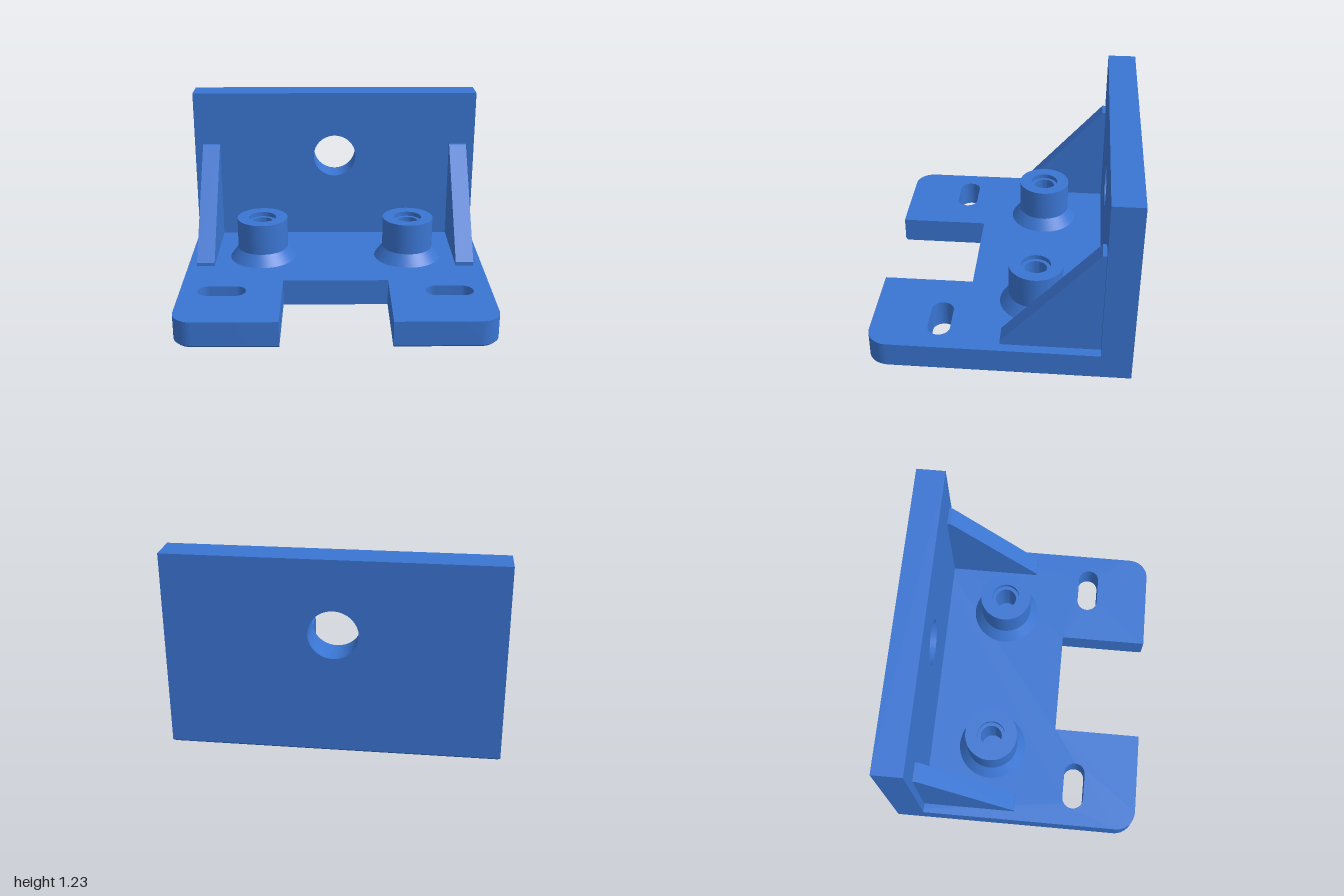
import * as THREE from 'three';
import { toCreasedNormals } from 'three/addons/utils/BufferGeometryUtils.js';

const blue = new THREE.MeshStandardMaterial({ color: 0x3a75d2 });
blue.name = 'blue';

const BASE_TOP = 0.175, BACK = -0.805, FRONT = 0.805, WALL_FRONT = -0.615;
const CORNER = 0.13, CHAMFER = 0.015;

function part(name, geometry) {
  const mesh = new THREE.Mesh(toCreasedNormals(geometry, 0.5), blue);
  mesh.name = name;
  return mesh;
}

// Base plate: notched outline with two slots, chamfered along its lower outer edge
function basePlate() {
  const cx = 1 - CORNER, cz = FRONT - CORNER;
  const s = new THREE.Shape();
  s.moveTo(-1, -BACK);
  s.lineTo(-1, -cz);
  s.absarc(-cx, -cz, CORNER, Math.PI, Math.PI * 1.5, false);
  s.lineTo(-0.345, -FRONT);
  s.lineTo(-0.345, -0.225);
  s.lineTo(0.345, -0.225);
  s.lineTo(0.345, -FRONT);
  s.absarc(cx, -cz, CORNER, -Math.PI / 2, 0, false);
  s.lineTo(1, -BACK);
  s.closePath();
  for (const x of [-0.73, 0.73]) {
    const slot = new THREE.Path();
    slot.absarc(x + 0.085, -0.38, 0.07, -Math.PI / 2, Math.PI / 2, false);
    slot.absarc(x - 0.085, -0.38, 0.07, Math.PI / 2, Math.PI * 1.5, false);
    slot.closePath();
    s.holes.push(slot);
  }
  const g = new THREE.ExtrudeGeometry(s, { depth: BASE_TOP, steps: 2, bevelEnabled: false, curveSegments: 16 });
  g.rotateX(-Math.PI / 2);

  // Middle ring drops to the chamfer height, bottom ring moves inwards
  const p = g.attributes.position;
  for (let i = 0; i < p.count; i++) {
    let x = p.getX(i), y = p.getY(i), z = p.getZ(i);
    if (y > 0.05 && y < 0.12) y = CHAMFER;
    else if (y < 0.01) {
      const side = Math.sign(x);
      if (Math.abs(x) > cx + 1e-4 && z > cz + 1e-4) {
        const k = 1 - CHAMFER / CORNER;
        x = side * (cx + (Math.abs(x) - cx) * k);
        z = cz + (z - cz) * k;
      } else {
        if (Math.abs(x) > 0.995) x -= side * CHAMFER;
        if (z > FRONT - 0.005) z -= CHAMFER;
        if (z < BACK + 0.005) z += CHAMFER;
      }
    }
    p.setXYZ(i, x, y, z);
  }
  return part('basePlate', g);
}

// Upright wall with a round through hole
function backWall() {
  const s = new THREE.Shape();
  s.moveTo(-1, BASE_TOP);
  s.lineTo(1, BASE_TOP);
  s.lineTo(1, 1.23);
  s.lineTo(-1, 1.23);
  s.closePath();
  const hole = new THREE.Path();
  hole.absarc(0, 0.77, 0.15, 0, Math.PI * 2, true);
  s.holes.push(hole);
  const g = new THREE.ExtrudeGeometry(s, { depth: WALL_FRONT - BACK, bevelEnabled: false, curveSegments: 48 });
  g.translate(0, 0, BACK);
  return part('backWall', g);
}

// Triangular gusset, drawn in z/y and extruded along x
function gusset(name, x) {
  const s = new THREE.Shape([
    [-WALL_FRONT, BASE_TOP], [-WALL_FRONT, 0.86], [0.592, 0.86], [0.008, 0.2], [0.008, BASE_TOP],
  ].map(([u, v]) => new THREE.Vector2(u, v)));
  const g = new THREE.ExtrudeGeometry(s, { depth: 0.12, bevelEnabled: false });
  g.translate(0, 0, -0.06);
  g.rotateY(Math.PI / 2);
  g.translate(x, 0, 0);
  return part(name, g);
}

// Flared boss with a stepped blind hole
function boss(name, x) {
  const profile = [
    [0.226, BASE_TOP], [0.172, 0.25], [0.172, 0.46], [0.093, 0.46],
    [0.093, 0.43], [0.07, 0.43], [0.07, 0.19], [0, 0.19],
  ].map(([r, y]) => new THREE.Vector2(r, y));
  const mesh = part(name, new THREE.LatheGeometry(profile, 48));
  mesh.position.set(x, 0, -0.197);
  return mesh;
}

export function createModel() {
  const model = new THREE.Group();
  model.name = 'mountingBracket';
  model.add(basePlate(), backWall());
  for (const [side, sx] of [['left', 1], ['right', -1]]) {
    model.add(gusset(side + 'Gusset', sx * 0.88), boss(side + 'Boss', sx * 0.5));
  }
  return model;
}
